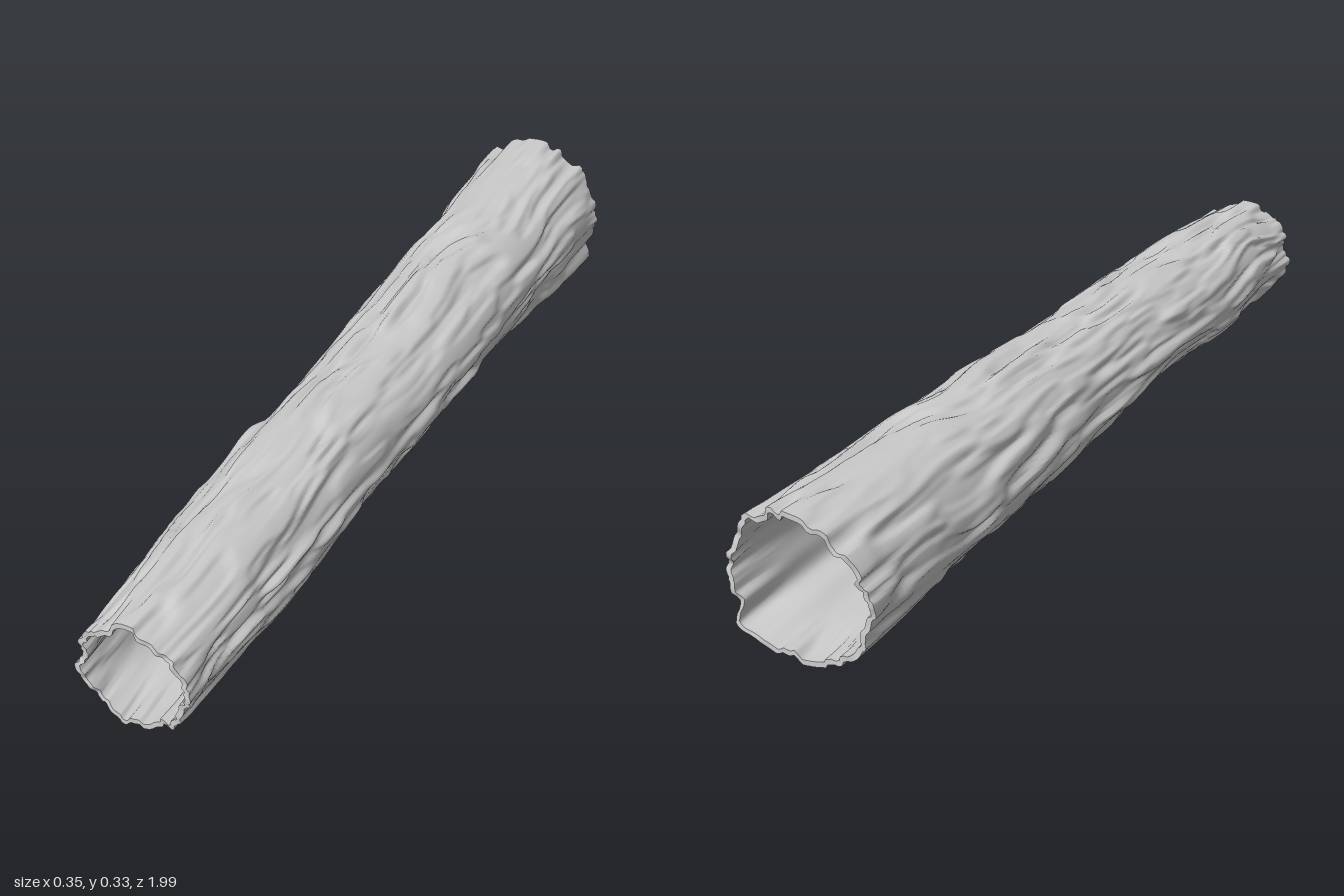
import * as THREE from 'three';

const AROUND = 180, ALONG = 150;
const { lerp, smoothstep, clamp } = THREE.MathUtils;

// Seeded value noise: u wraps every `period` cells, v is open.
function hash(x, y, seed) {
  let h = Math.imul(x, 374761393) + Math.imul(y, 668265263) + Math.imul(seed, 982451653);
  h = Math.imul(h ^ (h >>> 13), 1274126177);
  return ((h ^ (h >>> 16)) >>> 0) / 4294967295;
}
function noise(u, v, period, seed) {
  const x = Math.floor(u), y = Math.floor(v);
  const s = (t) => t * t * (3 - 2 * t);
  const h = (i, j) => hash((((x + i) % period) + period) % period, y + j, seed);
  const fx = s(u - x), fy = s(v - y);
  return lerp(lerp(h(0, 0), h(1, 0), fx), lerp(h(0, 1), h(1, 1), fx), fy);
}

// Overall shape of the trunk: z, left edge, right edge, bottom, top
const PROFILE = [
  [1.0, -0.13, 0.135, 0.03, 0.29],
  [0.6, -0.145, 0.15, 0.023, 0.312],
  [0.3, -0.15, 0.152, 0.035, 0.32],
  [0.0, -0.152, 0.156, 0.028, 0.318],
  [-0.3, -0.156, 0.163, 0.012, 0.33],
  [-0.6, -0.166, 0.168, 0.008, 0.337],
  [-1.0, -0.178, 0.17, 0.006, 0.345],
];
function section(z) {
  let k = 0;
  while (k < PROFILE.length - 2 && z < PROFILE[k + 1][0]) k++;
  const a = PROFILE[k], b = PROFILE[k + 1];
  const t = smoothstep((a[0] - z) / (a[0] - b[0]), 0, 1);
  const [l, r, bot, top] = [1, 2, 3, 4].map((i) => lerp(a[i], b[i], t));
  return { x: (l + r) / 2, y: (bot + top) / 2, rx: (r - l) / 2, ry: (top - bot) / 2 };
}

// Soft round spot on the wall, centred on angle a0 and length z0
function spot(a, z, a0, z0, wa, wz) {
  const d = Math.atan2(Math.sin(a - a0), Math.cos(a - a0));
  return Math.exp(-((d / wa) ** 2) - ((z - z0) / wz) ** 2);
}

// Bark relief: long plates split by winding furrows, calmer on worn patches
function barkDepth(a, z) {
  const u = a / (Math.PI * 2);
  const warp = (noise(u * 8, z * 5, 8, 1) - 0.5) * 0.05;
  const w = u + warp;
  const plates = smoothstep(noise(w * 34, z * 5 + 20, 34, 2), 0.28, 0.6);
  const slivers = smoothstep(noise(w * 58, z * 9 + 40, 58, 3), 0.3, 0.65);
  const swell = noise(u * 7, z * 3 + 9, 7, 4);
  const worn = clamp(
    spot(a, z, 1.75, -0.7, 0.5, 0.14) + spot(a, z, 1.9, 0.35, 0.4, 0.15) +
    spot(a, z, 3.4, -0.75, 0.3, 0.15) + spot(a, z, 0.6, 0.1, 0.3, 0.2), 0, 1);
  const relief = 0.011 * (1 - plates) + 0.006 * (1 - slivers);
  return lerp(relief, 0.004, worn * 0.85) + 0.009 * (1 - swell);
}

// Ragged ends: how far each end is broken back at this angle
function chip(a, seed, depth) {
  const u = a / (Math.PI * 2);
  return depth * (0.6 * noise(u * 11, 0.5, 11, seed) + 0.4 * noise(u * 37, 0.5, 37, seed + 1));
}
function alongZ(a, t) {
  const front = 1 - chip(a, 11, 0.03);
  const back = -1.005 + chip(a, 21, 0.055) * (1 - 0.5 * Math.abs(Math.sin(a)));
  return lerp(front, back, t);
}

function wallPoint(a, t, inside) {
  const z = alongZ(a, t), s = section(z);
  // swollen root ridge low on one side, growing to the back
  const lobe = 0.036 * spot(a, z, -0.72, -1.0, 0.2, 0.4);
  let off = lobe - barkDepth(a, z) + 0.003;
  if (inside) {
    const u = a / (Math.PI * 2);
    const thick = 0.015 + 0.013 * Math.sin(Math.PI * t);
    off = lobe * 0.7 - 0.009 - thick + 0.009 * (noise(u * 18, z * 2.5, 18, 7) - 0.5);
    // close to the ends the inside follows the bark so the rim stays thin
    const edge = smoothstep(Math.abs(t - 0.5), 0.42, 0.5);
    off = lerp(off, lobe - barkDepth(a, z) - 0.009, edge);
  }
  return [s.x + Math.cos(a) * (s.rx + off), s.y + Math.sin(a) * (s.ry + off), z];
}

// Closed rings joined into a skin; `rows` is a list of [t, inside]
function skin(rows, flip) {
  const pos = [], idx = [];
  for (const [t, inside] of rows)
    for (let j = 0; j < AROUND; j++)
      pos.push(...wallPoint((j / AROUND) * Math.PI * 2, t, inside));
  for (let i = 0; i < rows.length - 1; i++)
    for (let j = 0; j < AROUND; j++) {
      const k = (j + 1) % AROUND;
      const a = i * AROUND + j, b = i * AROUND + k, c = a + AROUND, d = b + AROUND;
      if (flip) idx.push(a, b, c, b, d, c);
      else idx.push(a, c, b, b, c, d);
    }
  const g = new THREE.BufferGeometry();
  g.setAttribute('position', new THREE.Float32BufferAttribute(pos, 3));
  g.setIndex(idx);
  g.computeVertexNormals();
  return g;
}

export function createModel() {
  const log = new THREE.Group();
  log.name = 'hollowLog';
  const material = new THREE.MeshStandardMaterial({ color: 0xcccccc, roughness: 0.9 });
  const add = (name, geometry) => {
    const mesh = new THREE.Mesh(geometry, material);
    mesh.name = name;
    log.add(mesh);
  };
  const rows = (n, inside) => Array.from({ length: n + 1 }, (_, i) => [i / n, inside]);

  add('bark', skin(rows(ALONG, false), false));
  add('hollow', skin(rows(60, true), true));
  // broken rims joining bark and hollow
  add('frontRim', skin([[0, true], [0, false]], false));
  add('backRim', skin([[1, false], [1, true]], false));
  return log;
}
